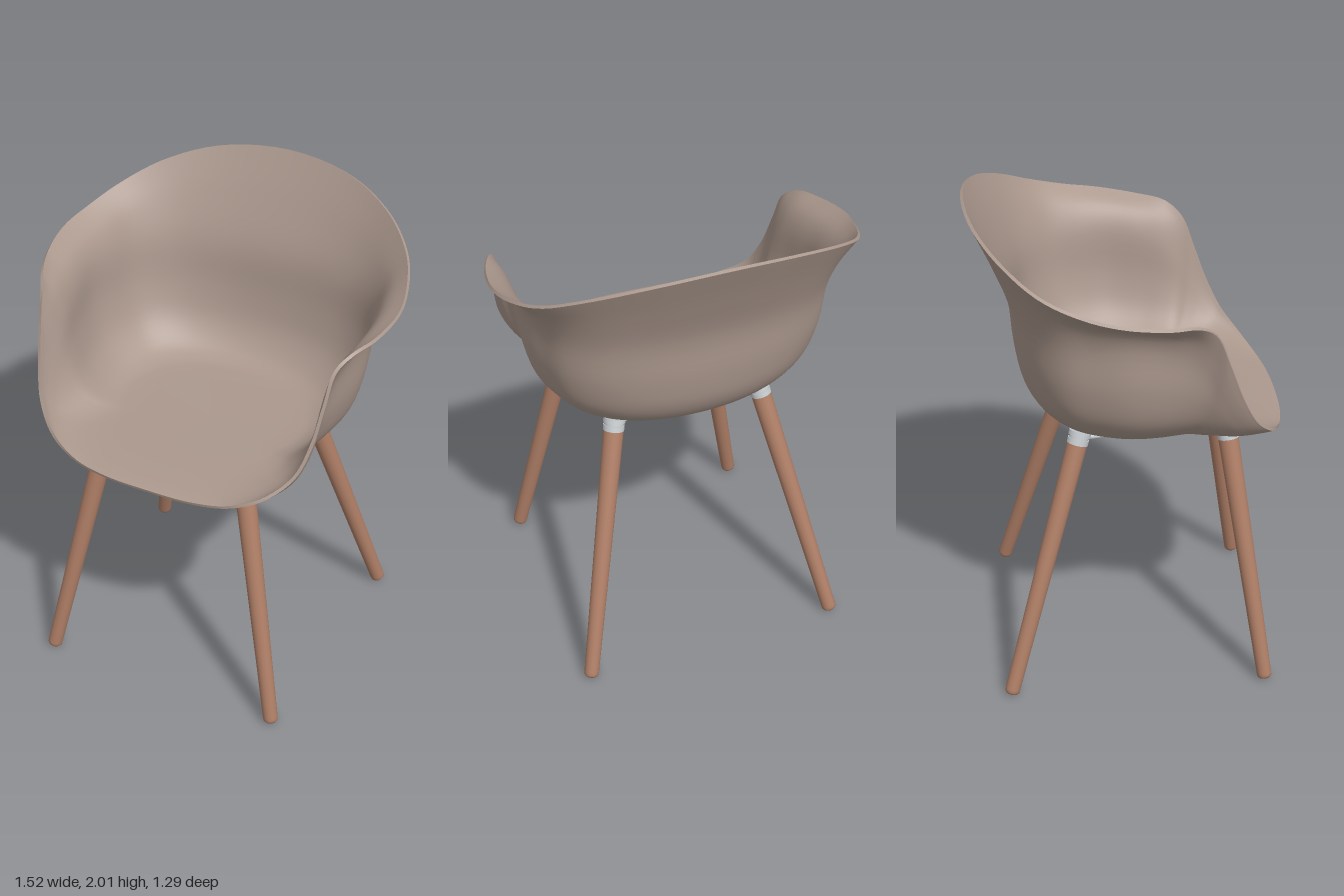
import * as THREE from 'three';
import { mergeGeometries } from 'three/addons/utils/BufferGeometryUtils.js';

const V = (x, y, z) => new THREE.Vector3(x, y, z);
const lerp = THREE.MathUtils.lerp;

// Half of the rim, front centre to back centre: x, y, z, frontWeight, backWeight
const RIM = [
  [0, 1.085, 0.64, 1, 0], [0.2, 1.086, 0.632, 1, 0], [0.35, 1.1, 0.605, 1, 0],
  [0.48, 1.15, 0.555, 1, 0], [0.575, 1.24, 0.48, 1, 0], [0.615, 1.36, 0.42, 1, 0],
  [0.638, 1.52, 0.36, 0.95, 0], [0.655, 1.65, 0.305, 0.7, 0], [0.69, 1.695, 0.24, 0.35, 0],
  [0.735, 1.71, 0.12, 0.05, 0], [0.758, 1.735, -0.05, 0, 0], [0.73, 1.765, -0.2, 0.1, 0.1],
  [0.66, 1.82, -0.36, 0.3, 0.2], [0.52, 1.9, -0.5, 0.3, 0.5], [0.3, 1.97, -0.605, 0.1, 0.85],
  [0, 2, -0.645, 0, 1],
];
// Wall profiles from seat edge to rim: [outward share, upward share]
const FRONT = [[0, 0], [0.2, 0.01], [0.42, 0.06], [0.65, 0.2], [0.8, 0.38], [0.9, 0.6], [0.96, 0.8], [1, 1]];
const SIDE = [[0, 0], [0.2, 0.015], [0.38, 0.08], [0.57, 0.24], [0.67, 0.48], [0.71, 0.78], [0.8, 0.91], [1, 1]];
const BACK = [[0, 0], [0.18, 0.01], [0.34, 0.055], [0.49, 0.17], [0.56, 0.33], [0.61, 0.55], [0.79, 0.78], [1, 1]];

// Skins rows of points; each row is a closed ring
function skin(rows, flip = false) {
  const n = rows[0].length, index = [];
  for (let j = 0; j < rows.length - 1; j++) {
    for (let i = 0; i < n; i++) {
      const a = j * n + i, b = j * n + (i + 1) % n, c = a + n, d = b + n;
      if (flip) index.push(a, c, b, b, c, d);
      else index.push(a, b, c, b, d, c);
    }
  }
  const g = new THREE.BufferGeometry().setFromPoints(rows.flat());
  g.setIndex(index);
  g.computeVertexNormals();
  return g;
}

// Bucket shell: outer skin, inner skin and rim edge
function shellGeometry() {
  const N = 144, SEAT = 6, WALL = 30, THICK = 0.013;
  const mirrored = RIM.slice(1, -1).reverse().map(([x, ...r]) => [-x, ...r]);
  const all = [...RIM, ...mirrored];
  const rim = new THREE.CatmullRomCurve3(all.map(p => V(p[0], p[1], p[2])), true);
  const weights = new THREE.CatmullRomCurve3(all.map(p => V(p[3], p[4], 0)), true, 'catmullrom', 0.5);
  const centre = V(0, 1.095, 0.08);
  const outer = Array.from({ length: SEAT + WALL + 1 }, () => []);

  for (let i = 0; i < N; i++) {
    const p = rim.getPoint(i / N), w = weights.getPoint(i / N);
    const k = 0.45 + 0.08 * p.z;
    const q = V(p.x * k, 1.1, lerp(centre.z, p.z, k));
    const profile = new THREE.CatmullRomCurve3(SIDE.map((s, m) => {
      const mix = c => s[c] + w.x * (FRONT[m][c] - s[c]) + w.y * (BACK[m][c] - s[c]);
      return V(mix(0), mix(1), 0);
    }));
    for (let j = 0; j < SEAT; j++) {
      outer[j].push(centre.clone().lerp(q, Math.max(j / SEAT, 0.002)));
    }
    for (let j = 0; j <= WALL; j++) {
      const f = profile.getPoint(j / WALL);
      outer[SEAT + j].push(V(lerp(q.x, p.x, f.x), lerp(q.y, p.y, f.y), lerp(q.z, p.z, f.x)));
    }
  }
  const outside = skin(outer), normal = outside.attributes.normal;
  const inner = outer.map((row, j) => row.map((p, i) =>
    p.clone().addScaledVector(V().fromBufferAttribute(normal, j * N + i), -THICK)));
  const edge = skin([outer.at(-1), inner.at(-1)]);
  return mergeGeometries([outside, skin(inner, true), edge]);
}

export function createModel() {
  const material = (name, color) => new THREE.MeshStandardMaterial({ name, color });
  const taupe = material('taupe plastic', 0xab988d);
  taupe.side = THREE.DoubleSide;
  const wood = material('wood', 0xae7e66);
  const metal = material('light metal', 0xc6cbce);

  const model = new THREE.Group();
  model.name = 'armchair';
  const add = (name, geometry, mat, parent = model) => {
    const mesh = new THREE.Mesh(geometry, mat);
    mesh.name = name;
    parent.add(mesh);
    return mesh;
  };

  add('seatShell', shellGeometry(), taupe);

  // Splayed legs, each with a stepped metal collar
  const legLathe = (pts, sides = 28) =>
    new THREE.LatheGeometry(new THREE.SplineCurve().setFromPoints
      ? pts : pts.map(([r, y]) => new THREE.Vector2(r, y)), sides);
  const makeLeg = (name, foot, top) => {
    const leg = new THREE.Group();
    leg.name = name;
    const length = foot.distanceTo(top);
    leg.position.copy(foot);
    leg.quaternion.setFromUnitVectors(V(0, 1, 0), top.clone().sub(foot).normalize());
    add('legShaft', legLathe([[0, 0], [0.024, 0], [0.03, 0.008], [0.031, 0.02], [0.042, length - 0.035], [0, length - 0.035]]), wood, leg);
    [[0.044, 0.022, -0.03], [0.04, 0.012, -0.013], [0.046, 0.02, 0.003]].forEach(([r, h, y]) => {
      add('collarRing', new THREE.CylinderGeometry(r, r, h, 28), metal, leg).position.y = length + y;
    });
    model.add(leg);
  };
  for (const s of [1, -1]) {
    const side = s > 0 ? 'Left' : 'Right';
    makeLeg('front' + side + 'Leg', V(0.53 * s, 0.003, 0.56), V(0.315 * s, 1.085, 0.4));
    makeLeg('back' + side + 'Leg', V(0.56 * s, 0.003, -0.51), V(0.32 * s, 1.085, -0.2));
  }

  // Bowed rods joining the collars
  const rod = (name, a, mid, b) => add(name, new THREE.TubeGeometry(
    new THREE.CatmullRomCurve3([a, a.clone().lerp(mid, 0.5).lerp(a.clone().lerp(b, 0.25), 0.4), mid,
      b.clone().lerp(mid, 0.5).lerp(b.clone().lerp(a, 0.25), 0.4), b]), 32, 0.011, 10), metal);
  rod('frontRod', V(-0.3, 1.075, 0.39), V(0, 1.075, 0.29), V(0.3, 1.075, 0.39));
  rod('backRod', V(-0.3, 1.065, -0.19), V(0, 1.06, -0.09), V(0.3, 1.065, -0.19));
  for (const s of [1, -1]) {
    rod('sideRod', V(0.31 * s, 1.073, 0.38), V(0.22 * s, 1.067, 0.1), V(0.31 * s, 1.063, -0.18));
    // Mounts holding the frame to the seat
    for (const [x, z] of [[0.265, 0.335], [0.265, -0.135]]) {
      const mount = add('seatMount', new THREE.CylinderGeometry(0.026, 0.026, 0.03, 20), wood);
      mount.position.set(x * s, 1.083, z);
      const tab = add('mountTab', new THREE.BoxGeometry(0.07, 0.01, 0.025), metal);
      tab.position.set((x + 0.025) * s, 1.07, z + (z > 0 ? 0.025 : -0.025));
      tab.rotation.y = (z > 0 ? -1 : 1) * s * Math.PI / 4;
    }
  }
  return model;
}
